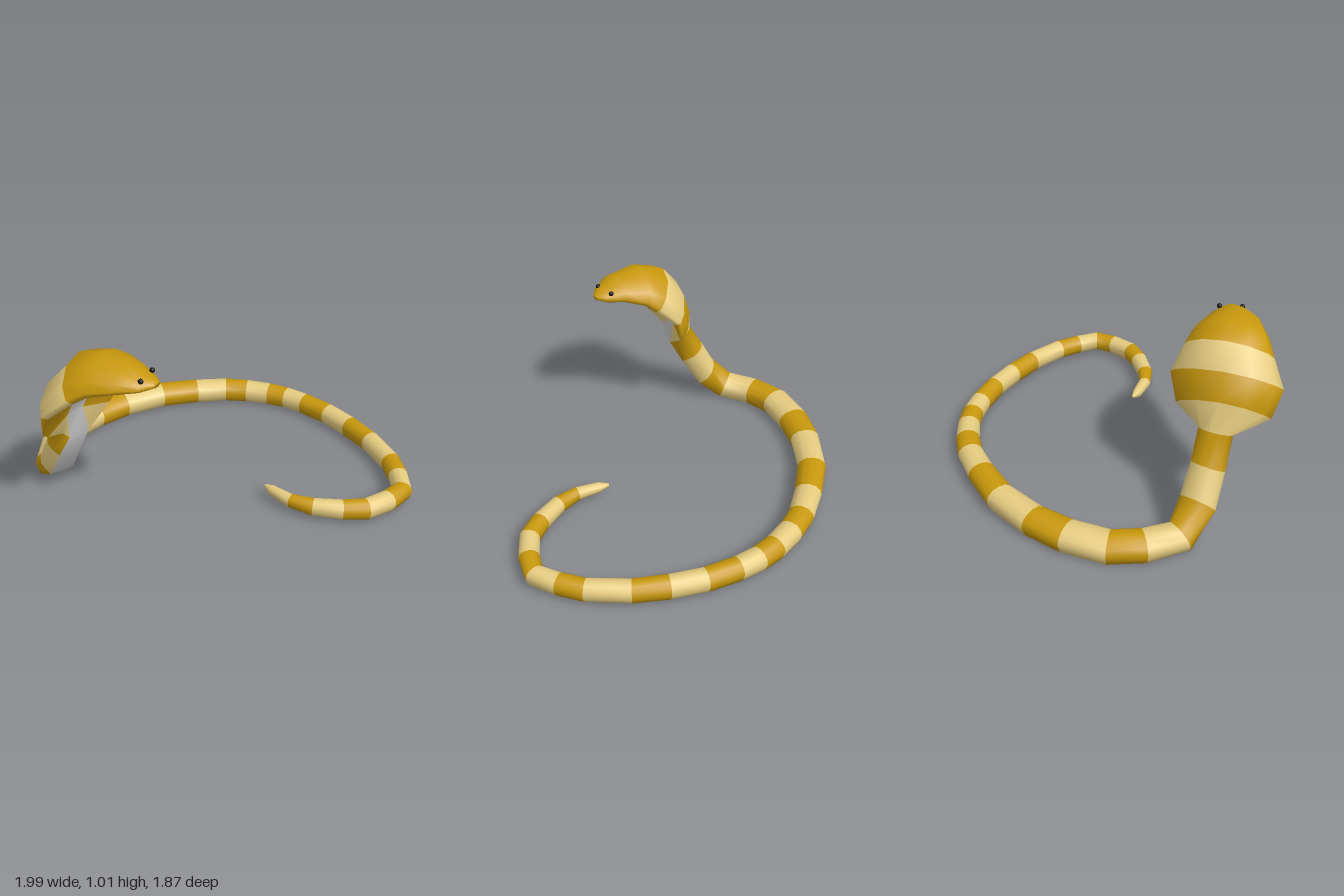
import * as THREE from 'three';

// Body on the ground, tail to neck: [x, z, halfWidth]
const BODY = [
  [0.12, 0.385, 0.008], [0.125, 0.44, 0.028], [0.15, 0.57, 0.036], [0.215, 0.68, 0.046],
  [0.33, 0.79, 0.052], [0.44, 0.86, 0.055], [0.59, 0.877, 0.056], [0.715, 0.86, 0.055],
  [0.795, 0.75, 0.055], [0.863, 0.625, 0.056], [0.92, 0.4, 0.058], [0.933, 0.21, 0.06],
  [0.925, 0.02, 0.06], [0.887, -0.16, 0.061], [0.842, -0.285, 0.063], [0.782, -0.39, 0.065],
  [0.69, -0.505, 0.068], [0.585, -0.602, 0.071], [0.42, -0.7, 0.076], [0.205, -0.8, 0.082],
  [-0.055, -0.848, 0.087], [-0.265, -0.845, 0.093], [-0.485, -0.795, 0.093],
  [-0.625, -0.69, 0.09], [-0.74, -0.535, 0.088],
];

// Raised neck, hood and head:
// [x, y, z, halfWidth, halfHeight, edge droop, belly halfWidth, yaw, pitch] in degrees
const NECK = [
  [-0.76, 0.19, -0.4, 0.1, 0.08, 0, 0.07, 0, 40],
  [-0.755, 0.36, -0.3, 0.092, 0.08, 0, 0.065, 0, 58],
  [-0.74, 0.515, -0.21, 0.092, 0.078, 0, 0.06, 5, 63],
  [-0.755, 0.67, -0.205, 0.245, 0.072, 0.11, 0.055, 15, 45],
  [-0.735, 0.805, -0.145, 0.288, 0.08, 0.09, 0.055, 15, 45],
  [-0.69, 0.91, -0.045, 0.232, 0.095, 0.09, 0.05, 15, 45],
  [-0.655, 0.95, 0.06, 0.2, 0.077, 0.06, 0.045, 17, 25],
  [-0.61, 0.95, 0.195, 0.14, 0.052, 0.03, 0.035, 20, 5],
  [-0.56, 0.932, 0.285, 0.078, 0.03, 0.01, 0.02, 20, 0],
  [-0.53, 0.928, 0.322, 0.026, 0.013, 0, 0.01, 20, 0],
];

// Upper half of a section; the lower flanks and the flat belly follow it
const BACK = [[1, 0], [0.87, 0.5], [0.5, 0.88], [0, 1], [-0.5, 0.88], [-0.87, 0.5], [-1, 0]];
const BELLY_SIDE = 8; // section side that carries the belly
const HEAD_START = 30; // from this ring on, all bands are gold

function bodyRings() {
  return BODY.map(([x, z, w], i) => {
    const k = i / (BODY.length - 1);
    const h = Math.min(w * 0.9, 0.045 + 0.023 * k);
    return { c: new THREE.Vector3(x, 0.082 - 0.01 * k, z), w, h, droop: 0, belly: w * 0.75 };
  });
}

function neckRings() {
  return NECK.map(([x, y, z, w, h, droop, belly, yaw, pitch]) => {
    const a = THREE.MathUtils.degToRad(yaw), p = THREE.MathUtils.degToRad(pitch);
    const t = new THREE.Vector3(Math.cos(p) * Math.sin(a), Math.sin(p), Math.cos(p) * Math.cos(a));
    return { c: new THREE.Vector3(x, y, z), w, h, droop, belly, t };
  });
}

function material(color) {
  return new THREE.MeshStandardMaterial({ color });
}

function createSkin() {
  const rings = [...bodyRings(), ...neckRings()];
  const up = new THREE.Vector3(0, 1, 0);
  const last = rings.length - 1;
  const pos = [];
  let n = 0;

  rings.forEach((r, i) => {
    // Body rings follow the path, neck rings have their own direction
    const t = r.t ?? rings[i + 1].c.clone().sub(rings[Math.max(i - 1, 0)].c).normalize();
    const side = t.clone().cross(up).normalize();
    const top = side.clone().cross(t);
    const b = r.belly / r.w;
    const section = [...BACK, [-0.9, -0.5], [-b, -1], [b, -1], [0.9, -0.5]];
    n = section.length;
    for (const [u, v] of section) {
      const p = r.c.clone()
        .addScaledVector(side, u * r.w)
        .addScaledVector(top, v * r.h - r.droop * u * u);
      pos.push(p.x, p.y, p.z);
    }
  });

  // Sort the faces by colour: alternating bands and the belly strip
  const faces = { goldBands: [], paleBands: [], belly: [] };
  for (let i = 0; i < last; i++) {
    const gold = i >= HEAD_START || (i > 0 && i % 2 === 0);
    for (let j = 0; j < n; j++) {
      const a = i * n + j, b = i * n + ((j + 1) % n);
      const name = j === BELLY_SIDE ? 'belly' : gold ? 'goldBands' : 'paleBands';
      faces[name].push(a, a + n, b, b, a + n, b + n);
    }
  }
  // Close the tail tip and the snout
  for (let j = 1; j < n - 1; j++) {
    faces.paleBands.push(0, j, j + 1);
    faces.goldBands.push(last * n, last * n + j + 1, last * n + j);
  }

  // Normals come from the whole skin, so that bands join smoothly
  const whole = new THREE.BufferGeometry();
  whole.setAttribute('position', new THREE.Float32BufferAttribute(pos, 3));
  whole.setIndex(Object.values(faces).flat());
  whole.computeVertexNormals();

  const skin = new THREE.Group();
  skin.name = 'skin';
  const colors = { goldBands: 0xc8980c, paleBands: 0xe6cc80, belly: 0xcccccc };
  for (const name of Object.keys(faces)) {
    const g = new THREE.BufferGeometry();
    g.setAttribute('position', whole.getAttribute('position').clone());
    g.setAttribute('normal', whole.getAttribute('normal').clone());
    g.setIndex(faces[name]);
    const mesh = new THREE.Mesh(g, material(colors[name]));
    mesh.name = name;
    skin.add(mesh);
  }
  return skin;
}

export function createModel() {
  const model = new THREE.Group();
  model.name = 'snake';
  model.add(createSkin());

  // Eyes on both sides of the snout
  const eyeGeometry = new THREE.SphereGeometry(0.014, 10, 8);
  const eyes = { leftEye: [-0.5, 0.958, 0.235], rightEye: [-0.604, 0.957, 0.294] };
  for (const [name, p] of Object.entries(eyes)) {
    const eye = new THREE.Mesh(eyeGeometry, material(0x111111));
    eye.name = name;
    eye.position.set(...p);
    model.add(eye);
  }
  return model;
}
